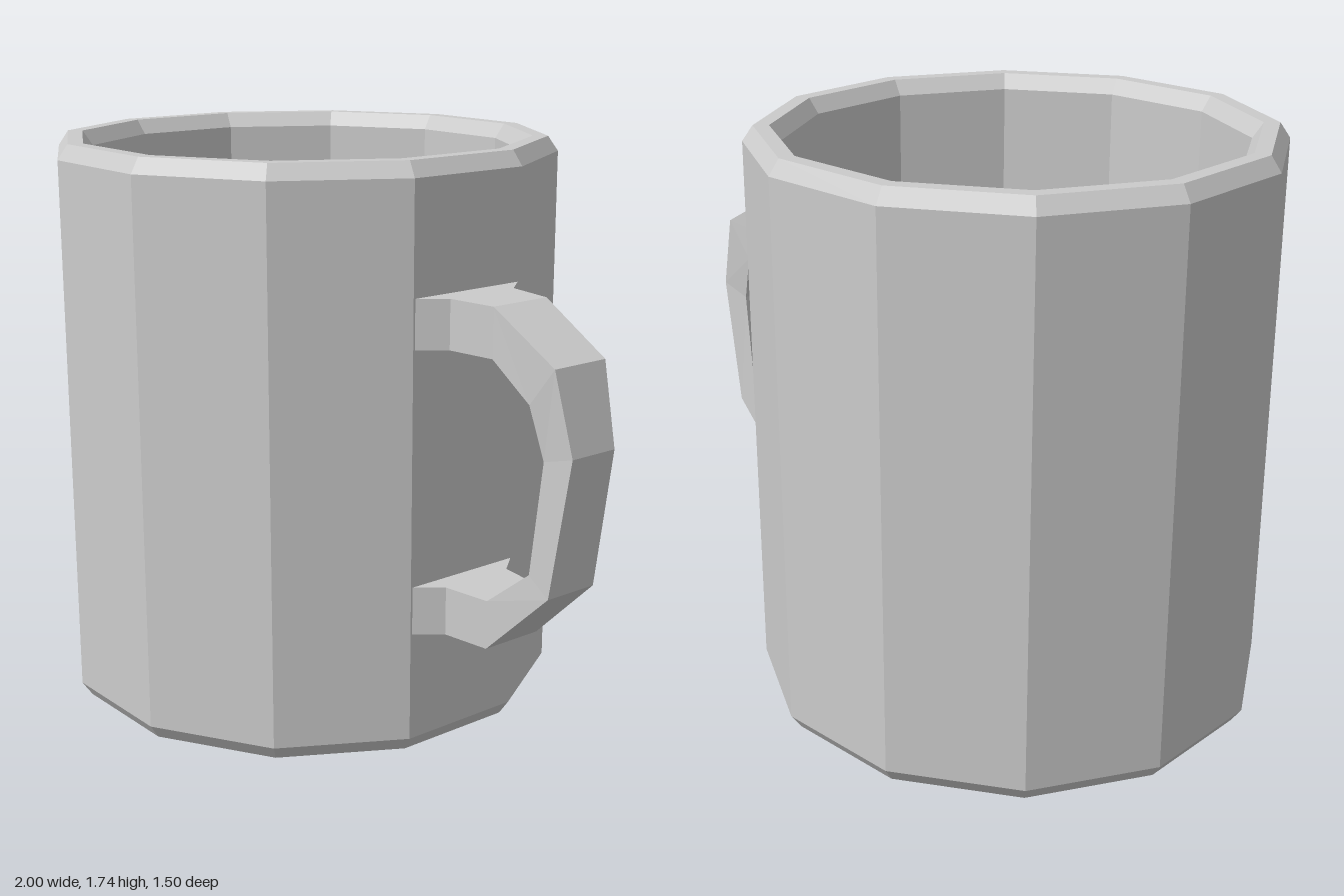
import * as THREE from 'three';

const SIDES = 12;
const CORNER = 1 / Math.cos(Math.PI / SIDES); // flat-to-centre distance -> corner radius

// Twelve-sided body: recessed base, chamfered edges, hollow inside
function makeBody(material) {
  const profile = [
    [0, 0.06], [0.49, 0.06], [0.72, 0], [0.75, 0.045], // base and foot chamfer
    [0.75, 1.695], [0.72, 1.74], [0.675, 1.74], [0.645, 1.695], // wall and rim
    [0.645, 0.14], [0.61, 0.1], [0, 0.1], // inner wall and floor
  ].map(([flat, y]) => new THREE.Vector2(flat * CORNER, y));
  const body = new THREE.Mesh(new THREE.LatheGeometry(profile, SIDES, Math.PI / SIDES), material);
  body.name = 'mugBody';
  body.position.x = -0.25;
  return body;
}

// Handle: rectangular sections swept from the upper joint to the lower one
function makeHandle(material) {
  // outer x, outer y, inner x, inner y, half width
  const sections = [
    [0.5, 1.365, 0.5, 1.22, 0.195],
    [0.56, 1.365, 0.56, 1.22, 0.12],
    [0.71, 1.365, 0.71, 1.22, 0.1],
    [0.94, 1.235, 0.85, 1.12, 0.095],
    [1.0, 1.0, 0.895, 0.97, 0.08],
    [0.935, 0.59, 0.86, 0.64, 0.088],
    [0.71, 0.375, 0.71, 0.52, 0.1],
    [0.56, 0.375, 0.56, 0.52, 0.12],
    [0.5, 0.375, 0.5, 0.52, 0.195],
  ];
  const rings = sections.map(([ox, oy, ix, iy, w]) => [
    [ox, oy, -w], [ox, oy, w], [ix, iy, w], [ix, iy, -w],
  ]);
  const positions = [];
  for (let i = 0; i < rings.length - 1; i++) {
    for (let k = 0; k < 4; k++) {
      const n = (k + 1) % 4;
      const a = rings[i][k], b = rings[i][n], c = rings[i + 1][n], d = rings[i + 1][k];
      positions.push(...a, ...b, ...c, ...a, ...c, ...d);
    }
  }
  const geometry = new THREE.BufferGeometry();
  geometry.setAttribute('position', new THREE.Float32BufferAttribute(positions, 3));
  geometry.computeVertexNormals();
  const handle = new THREE.Mesh(geometry, material);
  handle.name = 'handle';
  return handle;
}

export function createModel() {
  const material = new THREE.MeshStandardMaterial({ color: 0xcccccc, flatShading: true });
  const mug = new THREE.Group();
  mug.name = 'mug';
  mug.add(makeBody(material), makeHandle(material));
  return mug;
}
